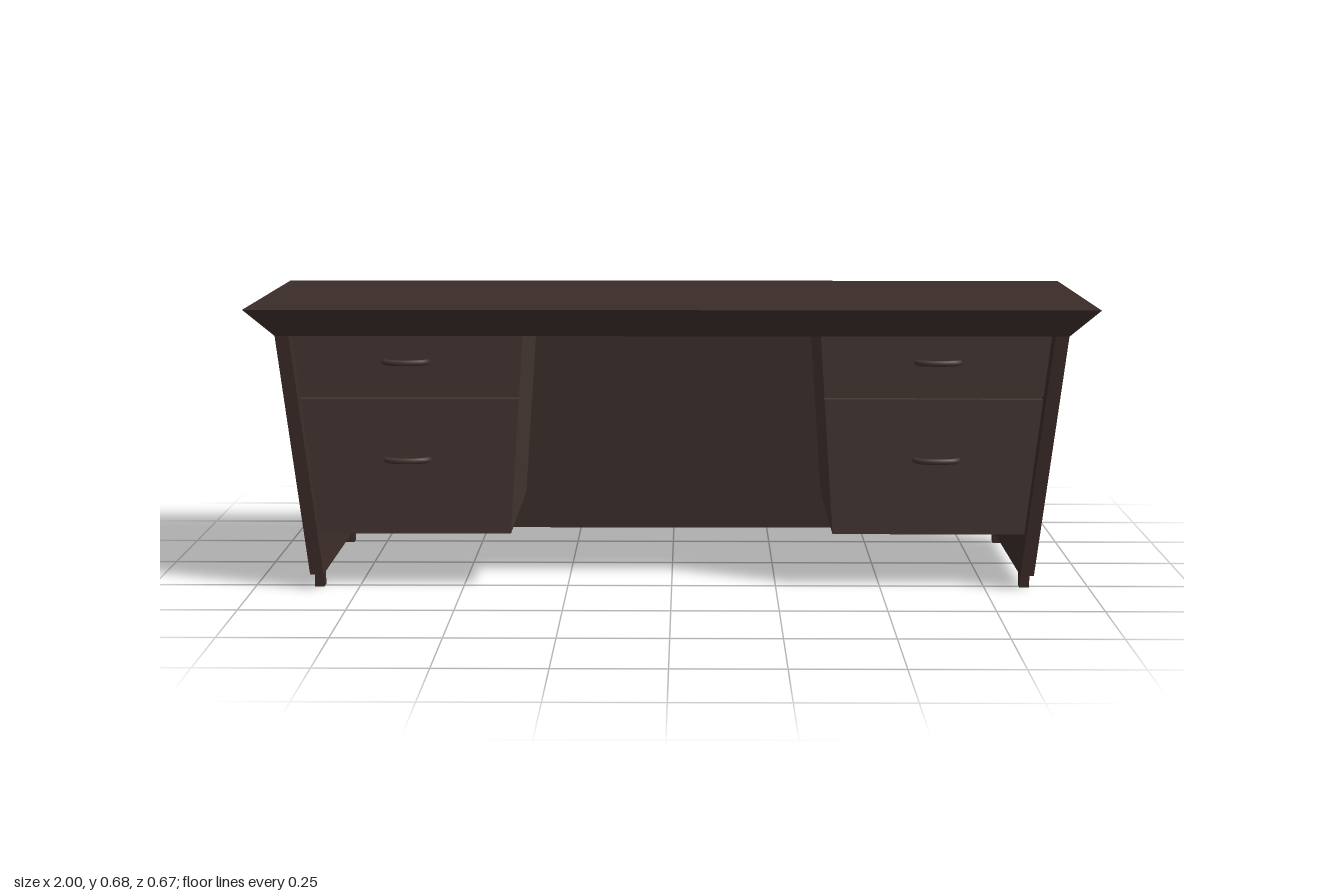
import * as THREE from 'three';

const BASE = 0.035, TOP = 0.613, SEAM = 0.46;
const lerpY = (y, y0, a, y1, b) => a + (b - a) * (y - y0) / (y1 - y0);

// Outer half width and half depth of the tapered body at height y
const halfW = y => lerpY(y, BASE, 0.865, TOP, 0.93);
const halfD = y => lerpY(y, BASE, 0.29, TOP, 0.312);
// Outer and inner sides of a drawer pedestal at height y
const pedOuter = y => halfW(y) - 0.032;
const pedInner = y => lerpY(y, 0.13, 0.385, TOP, 0.352);

// Box whose limits [xMin, xMax, zMin, zMax] depend on the height
function taperedBox(name, material, y0, y1, limits) {
  const geo = new THREE.BoxGeometry(1, 1, 1).toNonIndexed();
  const pos = geo.attributes.position;
  for (let i = 0; i < pos.count; i++) {
    const y = pos.getY(i) < 0 ? y0 : y1;
    const [xa, xb, za, zb] = limits(y);
    pos.setXYZ(i, pos.getX(i) < 0 ? xa : xb, y, pos.getZ(i) < 0 ? za : zb);
  }
  geo.computeVertexNormals();
  const mesh = new THREE.Mesh(geo, material);
  mesh.name = name;
  return mesh;
}

export function createModel() {
  const desk = new THREE.Group();
  desk.name = 'desk';
  const wood = new THREE.MeshStandardMaterial({ color: 0x3b2c29 });
  const drawerWood = new THREE.MeshStandardMaterial({ color: 0x453632 });

  // Desktop with flared edges
  desk.add(taperedBox('desktop', wood, TOP, 0.677, y => {
    const x = lerpY(y, TOP, 0.93, 0.677, 1), z = lerpY(y, TOP, 0.312, 0.677, 0.335);
    return [-x, x, -z, z];
  }));

  // Full-width back panel
  desk.add(taperedBox('backPanel', wood, BASE, TOP, y =>
    [-halfW(y), halfW(y), -halfD(y), -halfD(y) + 0.03]));

  // Curved pull, bowed forward
  const pull = new THREE.TubeGeometry(new THREE.CatmullRomCurve3([
    new THREE.Vector3(-0.052, 0, -0.004),
    new THREE.Vector3(-0.042, 0, 0.014),
    new THREE.Vector3(0, 0, 0.024),
    new THREE.Vector3(0.042, 0, 0.014),
    new THREE.Vector3(0.052, 0, -0.004),
  ]), 20, 0.007, 8);

  for (const s of [1, -1]) {
    const side = s > 0 ? 'left' : 'right';
    const add = (name, mat, y0, y1, limits) => desk.add(taperedBox(side + name, mat, y0, y1, y => {
      const [a, b, c, d] = limits(y);
      return s > 0 ? [a, b, c, d] : [-b, -a, c, d];
    }));

    // Side panel and its feet
    add('SidePanel', wood, BASE, TOP, y =>
      [halfW(y) - 0.032, halfW(y), -halfD(y) + 0.03, halfD(y)]);
    for (const z of [0.251, -0.251])
      add(z > 0 ? 'FrontFoot' : 'BackFoot', wood, 0, BASE, () =>
        [0.835, 0.858, z - 0.0135, z + 0.0135]);

    // Pedestal carcass with two drawer fronts
    add('Pedestal', drawerWood, 0.13, TOP, y =>
      [pedInner(y), pedOuter(y), -halfD(y) + 0.03, 0.24]);
    const face = y => [pedInner(y), pedOuter(y), 0.24, 0.262];
    add('LowerDrawer', drawerWood, 0.13, SEAM - 0.004, face);
    add('UpperDrawer', drawerWood, SEAM + 0.004, TOP, face);

    // Drawer handles
    for (const y of [0.31, 0.545]) {
      const handle = new THREE.Mesh(pull, drawerWood);
      handle.name = side + (y > SEAM ? 'UpperHandle' : 'LowerHandle');
      handle.position.set(s * 0.63, y, 0.262);
      desk.add(handle);
    }
  }
  return desk;
}
